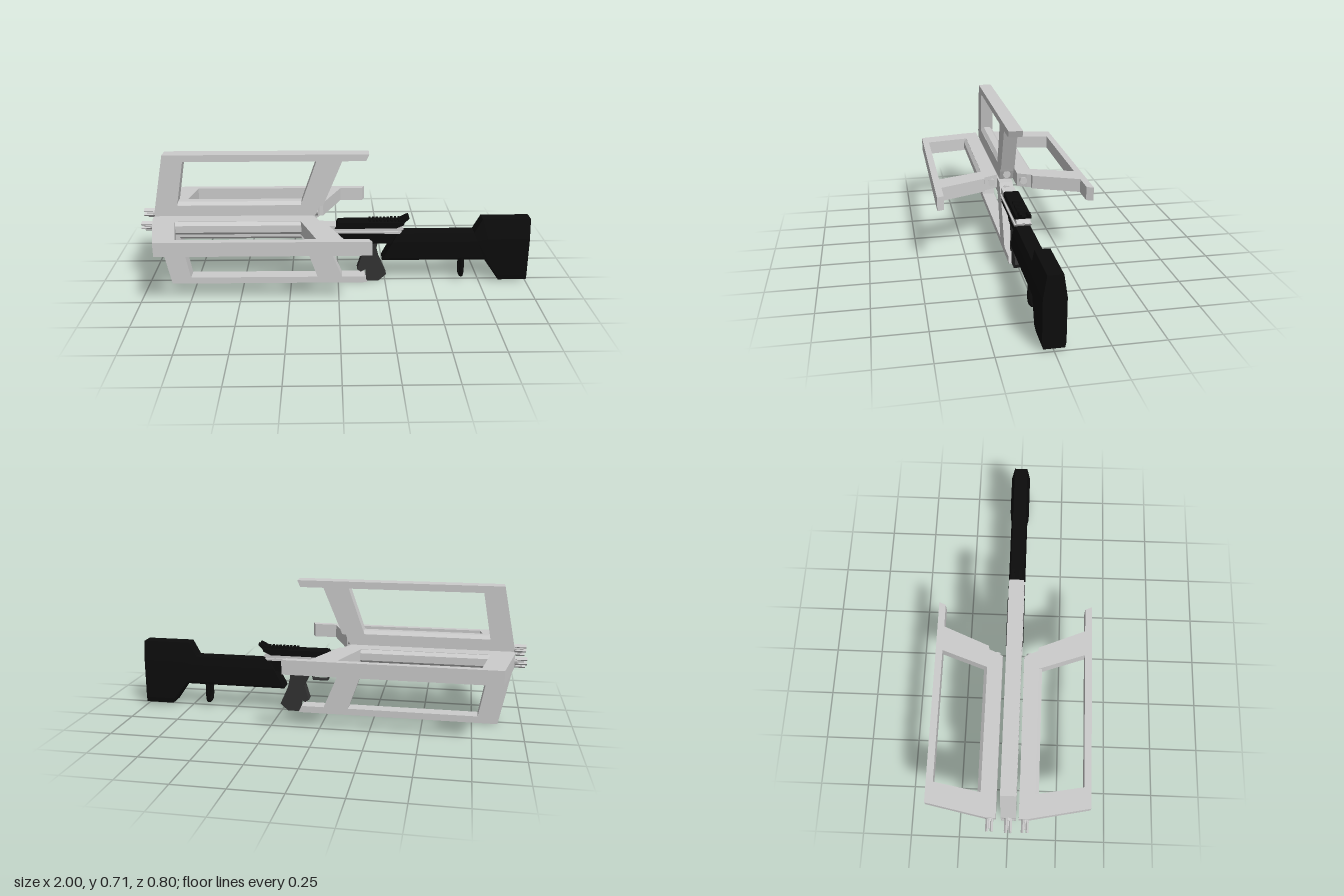
import * as THREE from 'three';

const grey = new THREE.MeshStandardMaterial({ color: 0xcccccc, flatShading: true });
const dark = new THREE.MeshStandardMaterial({ color: 0x333333, flatShading: true });
const black = new THREE.MeshStandardMaterial({ color: 0x0c0c0c, flatShading: true });
const ZC = 0.005;

function add(parent, name, geometry, material, x = 0, y = 0, z = 0) {
  const mesh = new THREE.Mesh(geometry, material);
  mesh.name = name;
  mesh.position.set(x, y, z);
  parent.add(mesh);
  return mesh;
}

const points = (list) => list.map(([x, y]) => new THREE.Vector2(x, y));

// side profile extruded symmetrically across z
function slab(profile, width, holes = []) {
  const shape = new THREE.Shape(points(profile));
  holes.forEach((h) => shape.holes.push(new THREE.Path(points(h))));
  const g = new THREE.ExtrudeGeometry(shape, { depth: width, bevelEnabled: false });
  return g.translate(0, 0, -width / 2);
}

// closed body through octagonal sections; each section is [xBottom, yBottom, xTop, yTop, halfWidth, halfTop]
function loft(sections) {
  const pos = [], idx = [], n = 8;
  for (const [xb, yb, xt, yt, w, wt] of sections) {
    const ring = [[0, w * 0.9], [0.08, w], [0.69, w], [1, wt], [1, -wt], [0.69, -w], [0.08, -w], [0, -w * 0.9]];
    for (const [t, z] of ring) pos.push(xb + (xt - xb) * t, yb + (yt - yb) * t, z);
  }
  for (let s = 0; s < sections.length - 1; s++) {
    for (let i = 0; i < n; i++) {
      const a = s * n + i, b = s * n + (i + 1) % n;
      idx.push(a, a + n, b, b, a + n, b + n);
    }
  }
  const last = (sections.length - 1) * n;
  for (let i = 1; i < n - 1; i++) idx.push(0, i, i + 1, last, last + i + 1, last + i);
  const g = new THREE.BufferGeometry();
  g.setAttribute('position', new THREE.Float32BufferAttribute(pos, 3));
  g.setIndex(idx);
  g.computeVertexNormals();
  return g;
}

// one framed fin with its inner barrel; local y points outward
function createFin() {
  const fin = new THREE.Group();
  const outline = [[-0.94, 0], [-0.13, 0], [-0.105, 0.05], [-0.097, 0.07], [-0.078, 0.073],
    [0.02, 0.31], [0.14, 0.31], [0.155, 0.345], [-0.88, 0.345], [-0.94, 0.045]];
  const opening = [[-0.822, 0.077], [-0.78, 0.31], [-0.11, 0.31], [-0.192, 0.077]];
  add(fin, 'finFrame', slab(outline, 0.072, [opening]), grey);

  // bevelled ridge along the inner edge of the opening
  const ridge = new THREE.Shape(points([[-0.036, 0.075], [0.036, 0.075], [0.018, 0.093], [-0.018, 0.093]]));
  const ridgeGeo = new THREE.ExtrudeGeometry(ridge, { depth: 0.634, bevelEnabled: false });
  add(fin, 'barrelRidge', ridgeGeo.rotateY(Math.PI / 2), grey, -0.822);

  // rear cap
  add(fin, 'barrelCap', new THREE.CylinderGeometry(0.02, 0.02, 0.05, 16).rotateZ(Math.PI / 2), grey, -0.13, 0.032);

  // muzzle: core, front ring and prongs
  add(fin, 'muzzleCore', new THREE.CylinderGeometry(0.013, 0.013, 0.05, 12).rotateZ(Math.PI / 2), grey, -0.96, 0.03);
  add(fin, 'muzzleCollar', new THREE.CylinderGeometry(0.019, 0.019, 0.014, 12).rotateZ(Math.PI / 2), grey, -0.946, 0.03);
  for (let i = 0; i < 4; i++) {
    const a = Math.PI / 4 + i * Math.PI / 2;
    const prong = add(fin, 'muzzleProng', new THREE.BoxGeometry(0.055, 0.008, 0.012), grey,
      -0.972, 0.03 + Math.cos(a) * 0.016, Math.sin(a) * 0.016);
    prong.rotation.x = a;
  }
  return fin;
}

export function createModel() {
  const model = new THREE.Group();
  model.name = 'launcher';

  // four fins around the axis
  const places = [
    ['topFin', 0, 0.365, ZC], ['bottomFin', Math.PI, 0.345, ZC],
    ['frontFin', Math.PI / 2, 0.355, 0.055], ['backFin', -Math.PI / 2, 0.355, -0.055]];
  for (const [name, angle, y, z] of places) {
    const fin = createFin();
    fin.name = name;
    fin.rotation.x = angle;
    fin.position.set(0, y, z);
    model.add(fin);
  }

  const gun = new THREE.Group();
  gun.name = 'gunBody';
  gun.position.z = 0.001;
  model.add(gun);

  // receiver
  add(gun, 'receiver', slab([[-0.15, 0.29], [-0.06, 0.28], [0.3, 0.28], [0.34, 0.3], [0.33, 0.315], [-0.11, 0.325]], 0.07), grey);
  add(gun, 'receiverStrip', slab([[-0.06, 0.28], [0.32, 0.28], [0.33, 0.292], [-0.09, 0.292]], 0.086), grey);
  add(gun, 'lowerReceiver', slab([[-0.06, 0.272], [-0.02, 0.245], [0.07, 0.24], [0.09, 0.215], [0.2, 0.22], [0.32, 0.22], [0.32, 0.283], [-0.06, 0.283]], 0.06), black);
  add(gun, 'lowerTrim', slab([[-0.02, 0.272], [0.24, 0.272], [0.24, 0.284], [-0.04, 0.284]], 0.092), black);

  // top cover with toothed rail and raised sight
  add(gun, 'topCover', slab([[-0.02, 0.308], [0.3, 0.308], [0.34, 0.325], [0.345, 0.34], [0, 0.34]], 0.076), black);
  for (let i = 0; i < 9; i++) {
    add(gun, 'railTooth', new THREE.BoxGeometry(0.011, 0.016, 0.05), black, 0.165 + i * 0.019, 0.344);
  }
  for (const z of [-0.02, 0.02]) {
    add(gun, 'rearSight', slab([[0.3, 0.335], [0.335, 0.325], [0.37, 0.358], [0.365, 0.37], [0.345, 0.362]], 0.014), black, 0, 0, z);
  }

  // grip, trigger and guard
  add(gun, 'grip', slab([[0.08, 0.235], [0.125, 0.15], [0.1, 0.07], [0.12, 0.055], [0.145, 0.07], [0.15, 0.003],
    [0.215, 0.003], [0.255, 0.04], [0.215, 0.13], [0.2, 0.19], [0.21, 0.235]], 0.05), dark);
  add(gun, 'triggerGuard', slab([[-0.03, 0.25], [0, 0.177], [0.08, 0.177], [0.1, 0.25]], 0.024,
    [[[-0.018, 0.25 - 0.003], [0.006, 0.186], [0.075, 0.186], [0.09, 0.247]]]), dark);
  add(gun, 'trigger', slab([[0.035, 0.245], [0.045, 0.215], [0.035, 0.195], [0.045, 0.195], [0.058, 0.215], [0.055, 0.245]], 0.012), dark);

  // shoulder stock flaring to the butt
  add(gun, 'stock', loft([
    [0.23, 0.13, 0.31, 0.28, 0.045, 0.036],
    [0.77, 0.13, 0.71, 0.28, 0.045, 0.036],
    [0.85, 0.015, 0.75, 0.355, 0.052, 0.035],
    [1, 0.015, 1, 0.355, 0.052, 0.035]]), black);

  // sling loop under the stock
  const loop = new THREE.CatmullRomCurve3([[0.14, 0.032], [0.06, 0.032], [0.034, 0.022], [0.03, 0],
    [0.034, -0.022], [0.06, -0.032], [0.14, -0.032]].map(([y, z]) => new THREE.Vector3(0.655, y, z)));
  add(gun, 'slingLoop', new THREE.TubeGeometry(loop, 24, 0.012, 8), black);

  return model;
}
